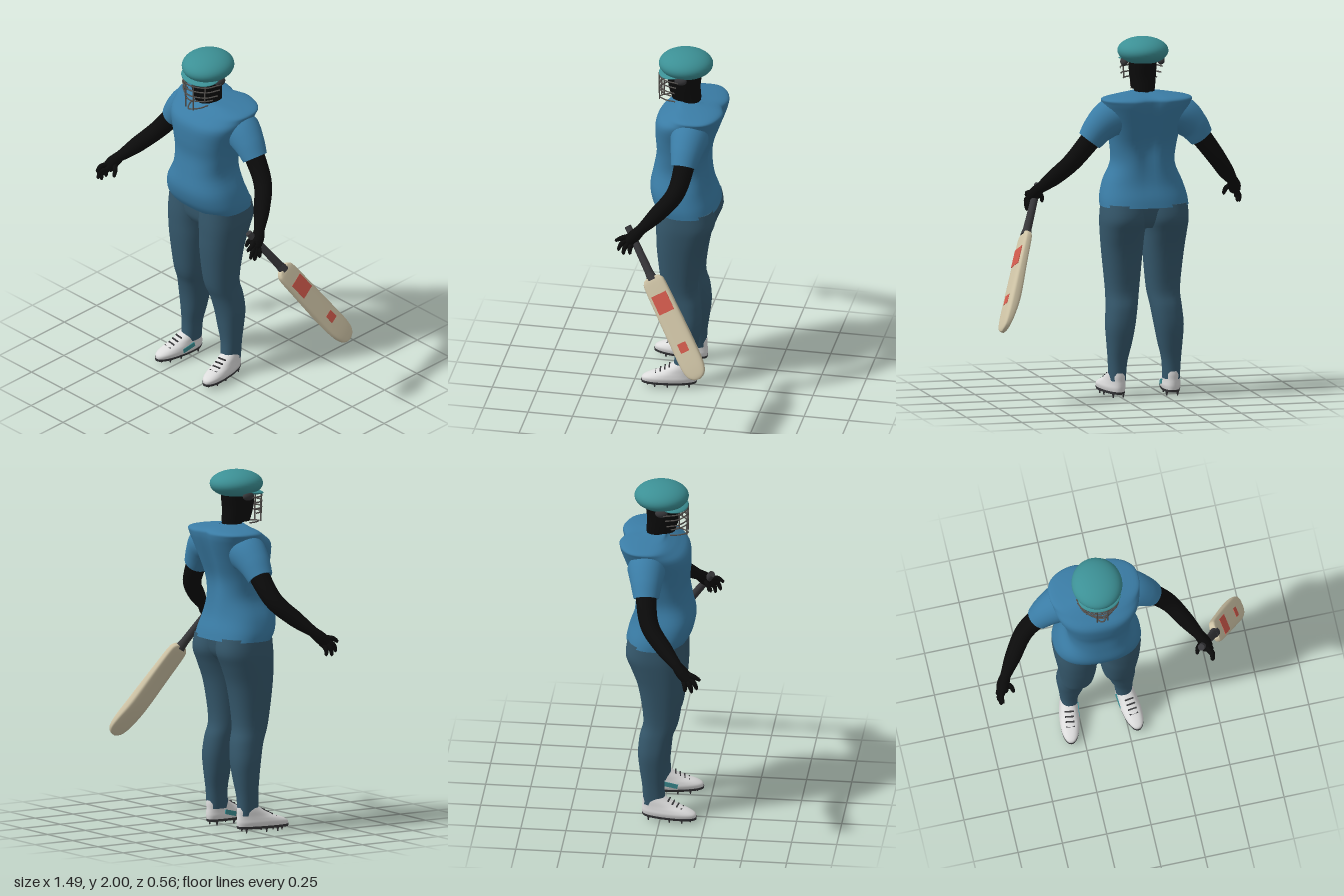
import * as THREE from 'three';

const mat = (name, color) => {
  const m = new THREE.MeshStandardMaterial({ color });
  m.name = name;
  return m;
};

// Catmull-Rom through table rows at parameter t
function sampleRow(rows, t) {
  const i = Math.min(Math.floor(t), rows.length - 2), f = t - i;
  const at = k => rows[Math.max(0, Math.min(rows.length - 1, k))];
  const [a, b, c, d] = [at(i - 1), at(i), at(i + 1), at(i + 2)];
  return b.map((v, k) => v + 0.5 * f * (c[k] - a[k] + f * (2 * a[k] - 5 * v + 4 * c[k] - d[k] + f * (3 * (v - c[k]) + d[k] - a[k]))));
}

// Closed body from rows [y, xMin, xMax, zFront, zBack], y ascending, with rounded-box sections
function loft(rows, { power = 2.3, sub = 4, sides = 36, warp = null } = {}) {
  const pos = [], idx = [], rings = (rows.length - 1) * sub;
  const e = 2 / power, pw = v => Math.sign(v) * Math.abs(v) ** e;
  const ring = j => {
    const [y, x0, x1, zf, zb] = sampleRow(rows, j / sub);
    for (let i = 0; i < sides; i++) {
      const a = i / sides * Math.PI * 2;
      const p = new THREE.Vector3((x0 + x1) / 2 + (x1 - x0) / 2 * pw(Math.cos(a)), y, (zf + zb) / 2 + (zf - zb) / 2 * pw(Math.sin(a)));
      if (warp) warp(p);
      pos.push(p.x, p.y, p.z);
    }
  };
  for (let j = 0; j <= rings; j++) ring(j);
  for (let j = 0; j < rings; j++) for (let i = 0; i < sides; i++) {
    const a = j * sides + i, b = j * sides + (i + 1) % sides;
    idx.push(a, a + sides, b, b, a + sides, b + sides);
  }
  for (const j of [0, rings]) {
    const s = pos.length / 3;
    ring(j);
    const c = new THREE.Vector3();
    for (let i = 0; i < sides; i++) c.add(new THREE.Vector3().fromArray(pos, (s + i) * 3));
    c.divideScalar(sides);
    pos.push(c.x, c.y, c.z);
    for (let i = 0; i < sides; i++) {
      const n = s + (i + 1) % sides;
      if (j) idx.push(s + sides, n, s + i); else idx.push(s + sides, s + i, n);
    }
  }
  const g = new THREE.BufferGeometry();
  g.setAttribute('position', new THREE.Float32BufferAttribute(pos, 3));
  g.setIndex(idx);
  g.computeVertexNormals();
  return g;
}

// Tube of changing radius through points [x, y, z, radius]
function limb(pts, segs = 20, sides = 16) {
  const curve = new THREE.CatmullRomCurve3(pts.map(p => new THREE.Vector3(p[0], p[1], p[2])));
  const g = new THREE.TubeGeometry(curve, segs, 1, sides), pos = g.attributes.position, v = new THREE.Vector3();
  for (let i = 0; i < pos.count; i++) {
    const u = Math.floor(i / (sides + 1)) / segs, c = curve.getPointAt(u);
    const t = curve.getUtoTmapping(u) * (pts.length - 1), k = Math.min(Math.floor(t), pts.length - 2);
    const r = THREE.MathUtils.lerp(pts[k][3], pts[k + 1][3], t - k);
    v.fromBufferAttribute(pos, i).sub(c).multiplyScalar(r).add(c);
    pos.setXYZ(i, v.x, v.y, v.z);
  }
  return g;
}

export function createModel() {
  const M = {
    shirt: mat('shirt blue', 0x3a7ca5), pants: mat('trouser blue', 0x35586c), skin: mat('black', 0x0b0b0b),
    helmet: mat('helmet teal', 0x3c9095), metal: mat('grille grey', 0x55524f), shoe: mat('shoe white', 0xdcdcdc),
    dark: mat('dark grey', 0x38383b), wood: mat('bat wood', 0xcfc4a6), red: mat('red', 0xd05a4c),
  };
  const model = new THREE.Group(), body = new THREE.Group();
  body.name = 'player';
  body.position.x = -0.137;
  model.add(body);
  const add = (name, geo, m, parent = body) => {
    const mesh = new THREE.Mesh(geo, m);
    mesh.name = name;
    parent.add(mesh);
    return mesh;
  };
  const sym = rows => rows.map(([y, w, f, b]) => [y, -w, w, f, b]);
  const mirrored = (rows, s) => rows.map(([y, a, b, f, k]) => s > 0 ? [y, a, b, f, k] : [y, -b, -a, f, k]);

  // Shirt with a groove down the spine
  add('shirt', loft(sym([
    [1.07, 0.245, 0.137, -0.2], [1.12, 0.241, 0.165, -0.188], [1.2, 0.218, 0.18, -0.163], [1.3, 0.176, 0.162, -0.154],
    [1.4, 0.182, 0.146, -0.157], [1.5, 0.202, 0.152, -0.19], [1.6, 0.235, 0.145, -0.225], [1.65, 0.248, 0.09, -0.238],
    [1.676, 0.247, 0.05, -0.234], [1.692, 0.17, 0.025, -0.19], [1.704, 0.065, 0.02, -0.1],
  ]), {
    power: 2.5, sides: 56,
    warp: p => { if (p.z < -0.1) p.z += 0.028 * Math.exp(-((p.x / 0.05) ** 2)) * THREE.MathUtils.smoothstep(p.y, 1.1, 1.5); },
  }), M.shirt);

  // Head and neck
  add('head', loft(sym([[1.715, 0.062, 0.066, -0.095], [1.78, 0.07, 0.085, -0.09], [1.84, 0.074, 0.092, -0.095], [1.92, 0.08, 0.09, -0.1]])), M.skin);
  add('neck', loft(sym([[1.68, 0.056, 0.01, -0.095], [1.73, 0.055, 0.02, -0.09]])), M.skin);

  // Helmet, peak and face grille
  const ball = (name, m, [x, y, z], [a, b, c]) => {
    const o = add(name, new THREE.SphereGeometry(1, 40, 24), m);
    o.position.set(x, y, z);
    o.scale.set(a, b, c);
    return o;
  };
  ball('helmet', M.helmet, [0, 1.924, -0.01], [0.14, 0.076, 0.15]);
  ball('helmetPeak', M.helmet, [0, 1.878, 0.05], [0.12, 0.016, 0.09]).rotation.x = 0.12;
  const bar = pts => add('grilleBar', new THREE.TubeGeometry(new THREE.CatmullRomCurve3(pts.map(p => new THREE.Vector3(...p))), 20, 0.0042, 6), M.metal);
  for (const [y, w, z] of [[1.855, 0.122, 0.01], [1.825, 0.122, 0.02], [1.79, 0.118, 0.03], [1.762, 0.1, 0.05], [1.703, 0.05, 0.04]])
    bar([[-w, y, z], [-w * 0.75, y, 0.095], [0, y, 0.138], [w * 0.75, y, 0.095], [w, y, z]]);

  // Hips
  add('hips', loft(sym([[0.95, 0.12, 0.09, -0.13], [1.0, 0.22, 0.115, -0.165], [1.09, 0.235, 0.122, -0.18]]), { power: 2.5 }), M.pants);

  for (const s of [-1, 1]) {
    ball('helmetEarPad', M.dark, [s * 0.105, 1.863, 0], [0.02, 0.024, 0.035]);
    bar([[s * 0.03, 1.87, 0.134], [s * 0.03, 1.703, 0.133]]);
    bar([[s * 0.087, 1.87, 0.097], [s * 0.08, 1.762, 0.095]]);

    // Sleeve and arm
    const L = pts => pts.map(([x, y, z, r]) => [s * x, y, z, r]);
    const sleeve = add('sleeve', limb(L([[0.12, 1.575, -0.07, 0.085], [0.2, 1.562, -0.07, 0.108], [0.265, 1.51, -0.065, 0.088], [0.318, 1.44, -0.06, 0.07]]), 20, 28), M.shirt);
    sleeve.material = M.shirt;
    add('sleeveLining', new THREE.CircleGeometry(0.069, 28), M.shirt)
      .position.set(s * 0.316, 1.443, -0.06);
    const lining = body.children[body.children.length - 1];
    lining.quaternion.setFromUnitVectors(new THREE.Vector3(0, 0, 1), new THREE.Vector3(s * 0.6, -0.8, 0.05).normalize());
    add('arm', limb(L([[0.25, 1.52, -0.065, 0.056], [0.32, 1.435, -0.06, 0.057], [0.41, 1.32, -0.03, 0.051], [0.49, 1.222, 0.06, 0.045], [0.552, 1.15, 0.14, 0.028]])), M.skin);

    // Hand with four fingers and a thumb
    add('palm', limb(L([[0.545, 1.16, 0.13, 0.029], [0.567, 1.125, 0.165, 0.036], [0.578, 1.095, 0.195, 0.034], [0.584, 1.078, 0.21, 0.004]]), 12, 12), M.skin);
    const fingers = [
      [[0.575, 1.12, 0.2], [0.592, 1.115, 0.235], [0.59, 1.095, 0.265]],
      [[0.578, 1.1, 0.205], [0.598, 1.08, 0.235], [0.597, 1.045, 0.25]],
      [[0.58, 1.09, 0.195], [0.602, 1.06, 0.215], [0.6, 1.025, 0.222]],
      [[0.577, 1.09, 0.175], [0.6, 1.06, 0.185], [0.602, 1.03, 0.185]],
      [[0.555, 1.13, 0.165], [0.525, 1.1, 0.19], [0.518, 1.07, 0.205]],
    ];
    fingers.forEach(([a, b, c], i) => add(i < 4 ? 'finger' : 'thumb',
      limb(L([[...a, 0.016], [...b, 0.014], [...c, 0.009], [c[0], c[1] - 0.008, c[2], 0.001]]), 10, 8), M.skin));

    // Trouser leg
    add('trouserLeg', loft(mirrored([
      [0.095, 0.108, 0.2, 0.03, -0.095], [0.2, 0.1, 0.205, 0.022, -0.1], [0.3, 0.076, 0.213, 0.03, -0.115], [0.4, 0.056, 0.22, 0.042, -0.125],
      [0.5, 0.04, 0.213, 0.065, -0.117], [0.6, 0.024, 0.209, 0.1, -0.097], [0.8, 0.007, 0.228, 0.125, -0.125],
      [0.92, 0.001, 0.24, 0.13, -0.165], [1.0, -0.012, 0.245, 0.13, -0.195], [1.085, -0.02, 0.238, 0.125, -0.185],
    ], s)), M.pants);

    // Shoe, turned slightly outwards
    const shoe = new THREE.Group();
    shoe.name = 'shoe';
    shoe.position.x = s * 0.162;
    shoe.rotation.y = s * 0.14;
    body.add(shoe);
    add('shoeUpper', loft(sym([[0.033, 0.05, 0.203, -0.1], [0.055, 0.056, 0.2, -0.103], [0.075, 0.053, 0.165, -0.102], [0.095, 0.049, 0.105, -0.1], [0.12, 0.046, 0.055, -0.1], [0.14, 0.042, 0.025, -0.098]])), M.shoe, shoe);
    add('shoeSole', loft(sym([[0.022, 0.05, 0.205, -0.1], [0.036, 0.054, 0.207, -0.104]])), M.dark, shoe);
    const stripe = add('shoeStripe', new THREE.BoxGeometry(0.008, 0.026, 0.08), M.helmet, shoe);
    stripe.position.set(-s * 0.052, 0.066, 0.02);
    stripe.rotation.x = 0.25;
    for (let i = 0; i < 4; i++) {
      const lace = add('lace', new THREE.BoxGeometry(0.05, 0.007, 0.007), M.dark, shoe);
      lace.position.set(0, 0.124 - i * 0.0135, 0.05 + i * 0.025);
    }
    for (const [x, z] of [[-0.03, 0.13], [0.03, 0.13], [-0.035, 0.06], [0.035, 0.06], [-0.03, -0.06], [0.03, -0.06], [0, 0.17]]) {
      const spike = add('spike', new THREE.CylinderGeometry(0.008, 0.003, 0.024, 8), M.dark, shoe);
      spike.position.set(x, 0.012, z);
    }
  }

  // Bat: local y runs from the blade's shoulder to its toe, local z faces outwards
  const bat = new THREE.Group();
  bat.name = 'bat';
  const d = new THREE.Vector3(0.347, -0.798, -0.5).normalize();
  const w = new THREE.Vector3(0, 0, 1).addScaledVector(d, -d.z).normalize();
  bat.quaternion.setFromRotationMatrix(new THREE.Matrix4().makeBasis(w, d, new THREE.Vector3().crossVectors(w, d)));
  bat.position.set(0.51, 0.92, 0.055);
  model.add(bat);
  add('batBlade', loft(sym([
    [0, 0.035, 0.02, -0.018], [0.015, 0.052, 0.022, -0.02], [0.05, 0.062, 0.024, -0.024], [0.2, 0.065, 0.024, -0.03], [0.4, 0.067, 0.024, -0.04],
    [0.52, 0.066, 0.023, -0.03], [0.58, 0.056, 0.02, -0.02], [0.608, 0.036, 0.016, -0.014], [0.62, 0.012, 0.01, -0.008],
  ]), { power: 3.6 }), M.wood, bat);
  add('batHandle', new THREE.CylinderGeometry(0.024, 0.019, 0.32, 20), M.dark, bat).position.y = -0.15;
  add('batCollar', new THREE.CylinderGeometry(0.03, 0.024, 0.04, 20), M.dark, bat).position.y = -0.005;
  for (const [y, a, b] of [[0.157, 0.09, 0.11], [0.426, 0.05, 0.055]])
    add('batPatch', new THREE.BoxGeometry(a, b, 0.008), M.red, bat).position.set(0, y, 0.0215);
  return model;
}
